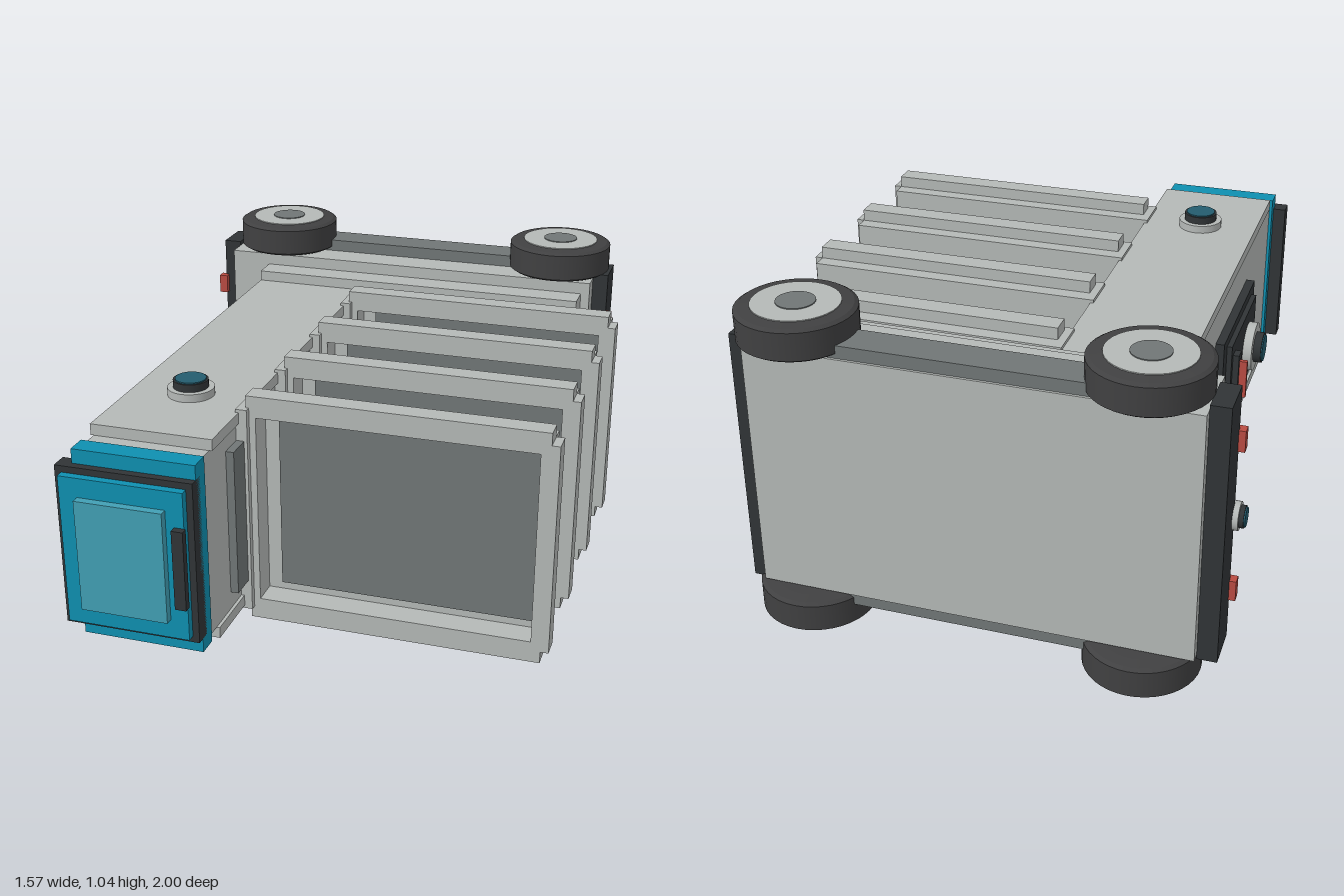
import * as THREE from 'three';

const mat = (color) => new THREE.MeshStandardMaterial({ color });
const light = mat(0xb4b8b6), grey = mat(0x707676), dark = mat(0x303436), tyre = mat(0x404041);
const blue = mat(0x0f8fb0), screen = mat(0x419fb4), teal = mat(0x245c6e), red = mat(0xb84b42);
const MID = 0.52; // height of the mirror plane

export function createModel() {
  const model = new THREE.Group();

  const group = (name, parent = model) => {
    const g = new THREE.Group();
    g.name = name;
    parent.add(g);
    return g;
  };
  // Box given by its limits on each axis
  const box = (parent, name, material, [x0, x1], [y0, y1], [z0, z1]) => {
    const m = new THREE.Mesh(new THREE.BoxGeometry(x1 - x0, y1 - y0, z1 - z0), material);
    m.position.set((x0 + x1) / 2, (y0 + y1) / 2, (z0 + z1) / 2);
    m.name = name;
    parent.add(m);
    return m;
  };
  // Disc standing on its local y = start
  const disc = (parent, name, material, r, start, h) => {
    const m = new THREE.Mesh(new THREE.CylinderGeometry(r, r, h, 32), material);
    m.position.y = start + h / 2;
    m.name = name;
    parent.add(m);
  };
  // Stepped round button that points along local +y
  const button = (parent, name, r, ringH, coreR, coreH) => {
    const g = group(name, parent);
    disc(g, 'buttonRing', light, r, 0, ringH);
    disc(g, 'buttonCore', dark, coreR, ringH, coreH - 0.004);
    disc(g, 'buttonCap', teal, coreR * 0.88, ringH, coreH);
    return g;
  };

  // Base body
  const base = group('base');
  box(base, 'baseBody', light, [-0.69, 0.65], [0.12, 0.92], [-0.92, -0.69]);
  box(base, 'baseStep', light, [-0.55, 0.62], [0.16, 0.88], [-0.69, -0.6]);
  box(base, 'chassis', grey, [-0.6, 0.6], [0.08, 0.96], [-0.912, -0.8]);

  // Bumpers with two lamps and a round sensor each
  for (const [s, inner, outer] of [[-1, -0.69, -0.75], [1, 0.65, 0.703]]) {
    const bumper = group('bumper', base);
    const span = (a, b) => [Math.min(a, b), Math.max(a, b)];
    box(bumper, 'bumperBar', dark, span(inner, outer), [0.105, 0.935], [-0.888, -0.755]);
    for (const y of [0.272, 0.768])
      box(bumper, 'lamp', red, span(outer - s * 0.01, outer + s * 0.02), [y - 0.033, y + 0.033], [-0.767, -0.735]);
    const sensor = button(bumper, 'sideSensor', 0.042, 0.02, 0.033, 0.018);
    sensor.position.set(outer - s * 0.003, MID, -0.752);
    sensor.rotation.z = -s * Math.PI / 2;
  }

  // Wheels: tyre lathe, hub and cap, axles upright
  const tyreGeo = new THREE.LatheGeometry([
    [0, -0.055], [0.13, -0.055], [0.13, -0.055], [0.165, -0.051], [0.165, -0.051], [0.177, -0.043],
    [0.177, -0.043], [0.177, 0.043], [0.177, 0.043], [0.165, 0.051], [0.165, 0.051], [0.13, 0.055],
    [0.13, 0.055], [0, 0.055],
  ].map(([r, y]) => new THREE.Vector2(r, y)), 40);
  for (const s of [-1, 1]) for (const x of [-0.515, 0.515]) {
    const wheel = group('wheel', base);
    wheel.position.set(x, MID + s * 0.458, -0.825);
    if (s < 0) wheel.rotation.x = Math.PI;
    const t = new THREE.Mesh(tyreGeo, tyre);
    t.name = 'tyre';
    wheel.add(t);
    disc(wheel, 'hub', light, 0.13, 0.03, 0.028);
    disc(wheel, 'hubCap', grey, 0.058, 0.03, 0.031);
  }

  // Column: core with a slightly wider slab on either edge
  const column = group('column');
  box(column, 'columnCore', light, [-0.54, -0.18], [0.23, 0.81], [-0.6, 0.87]);
  box(column, 'upperSlab', light, [-0.55, -0.17], [0.81, 0.845], [-0.6, 0.8]);
  box(column, 'lowerSlab', light, [-0.55, -0.17], [0.195, 0.23], [-0.6, 0.8]);
  box(column, 'shelfRail', grey, [-0.18, -0.155], [0.285, 0.755], [-0.6, 0.68]);

  // Matching buttons on both column edges
  for (const s of [-1, 1]) {
    const b = button(column, 'edgeButton', 0.072, 0.025, 0.054, 0.028);
    b.position.set(-0.36, MID + s * 0.325, 0.5);
    if (s < 0) b.rotation.x = Math.PI;
  }

  // Control panel with button and lever
  const panel = group('controlPanel', column);
  box(panel, 'panelFrame', dark, [-0.568, -0.54], [0.36, 0.68], [-0.05, 0.46]);
  box(panel, 'panelPlate', dark, [-0.585, -0.568], [0.39, 0.65], [0, 0.41]);
  const stop = button(panel, 'panelButton', 0.082, 0.03, 0.052, 0.03);
  stop.position.set(-0.585, MID, 0.28);
  stop.rotation.z = Math.PI / 2;
  box(panel, 'leverSlot', dark, [-0.605, -0.585], [0.43, 0.61], [0.022, 0.062]);
  box(panel, 'lever', red, [-0.63, -0.605], [0.455, 0.585], [0.035, 0.05]);

  // Head with framed screen and grip
  const head = group('head');
  box(head, 'headCollar', blue, [-0.55, -0.17], [0.22, 0.82], [0.86, 0.925]);
  box(head, 'doorFrame', dark, [-0.593, -0.17], [0.265, 0.775], [0.895, 0.95]);
  box(head, 'doorPanel', blue, [-0.572, -0.19], [0.285, 0.755], [0.95, 0.975]);
  box(head, 'screen', screen, [-0.515, -0.245], [0.345, 0.695], [0.975, 1]);
  box(head, 'grip', dark, [-0.22, -0.185], [0.395, 0.645], [0.975, 0.998]);

  // Four trays carried by brackets on the column
  for (let i = 0; i < 4; i++) {
    const tray = group('tray');
    tray.position.z = -0.545 + i * 0.336;
    box(tray, 'bracket', light, [-0.18, -0.145], [0.185, 0.855], [0, 0.133]);
    box(tray, 'trayFloor', light, [-0.155, 0.757], [0.185, 0.855], [0, 0.03]);
    box(tray, 'trayMat', grey, [-0.08, 0.725], [0.24, 0.8], [0.03, 0.036]);
    box(tray, 'innerWall', light, [-0.155, -0.125], [0.185, 0.855], [0.03, 0.113]);
    box(tray, 'outerWall', light, [0.727, 0.757], [0.185, 0.855], [0.03, 0.113]);
    box(tray, 'outerLip', light, [0.757, 0.782], [0.185, 0.855], [0.047, 0.113]);
    for (const s of [-1, 1]) {
      const ys = (a, b) => (s > 0 ? [MID + a, MID + b] : [MID - b, MID - a]);
      box(tray, 'edgeWall', light, [-0.125, 0.727], ys(0.305, 0.335), [0.03, 0.113]);
      box(tray, 'edgeLip', light, [-0.155, 0.757], ys(0.335, 0.373), [0.047, 0.113]);
    }
  }
  return model;
}
